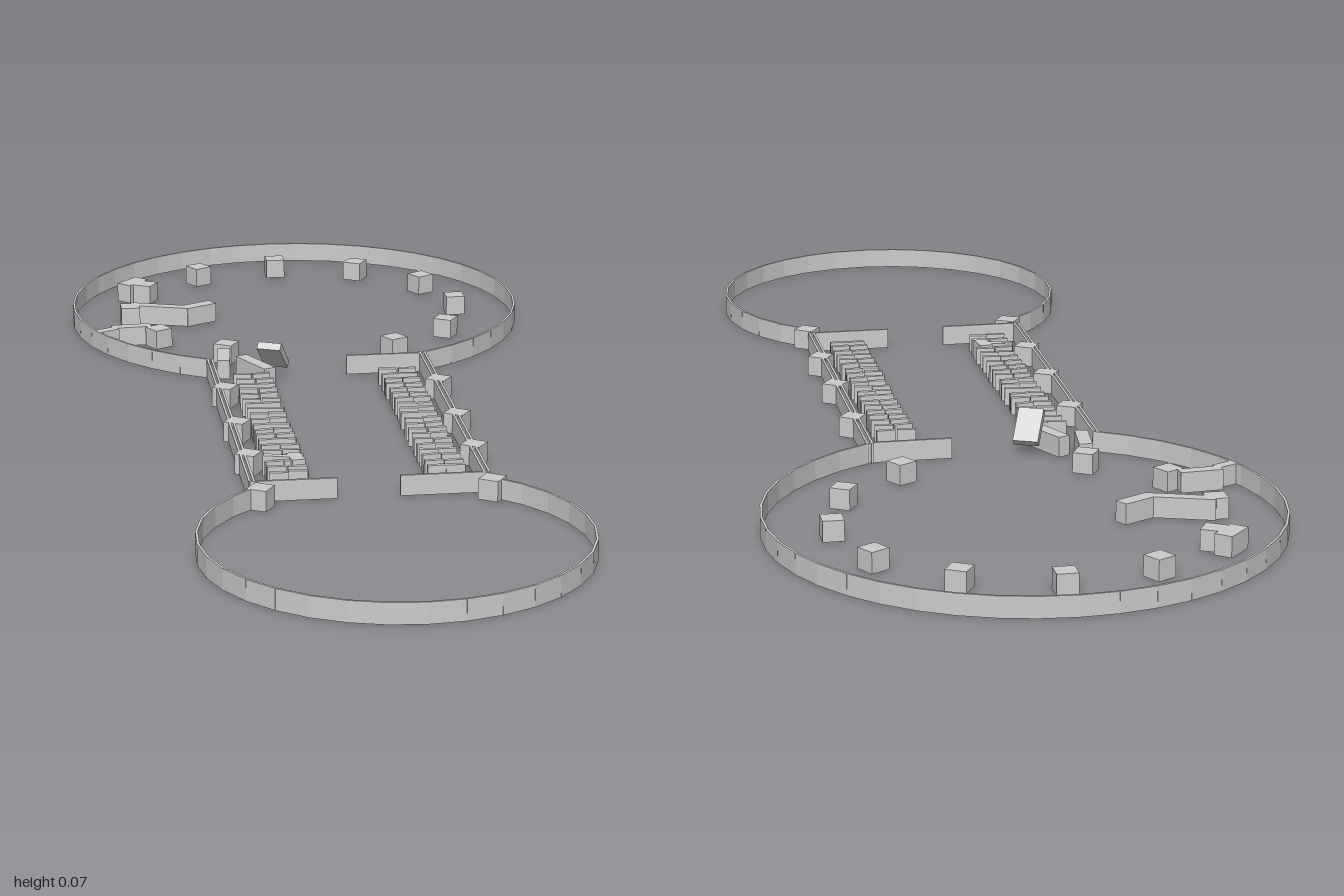
import * as THREE from 'three';

const H = 0.034; // common height of walls, pillars and planks
const mat = new THREE.MeshStandardMaterial({ color: 0xcccccc, flatShading: true });

// Seeded jitter in the range -1..1
function makeRandom(seed) {
  return () => {
    seed = (seed * 16807) % 2147483647;
    return (seed / 2147483647) * 2 - 1;
  };
}

function block(parent, name, w, h, d, x, y, z, ry = 0) {
  const mesh = new THREE.Mesh(new THREE.BoxGeometry(w, h, d), mat);
  mesh.name = name;
  mesh.position.set(x, y, z);
  mesh.rotation.y = ry;
  parent.add(mesh);
  return mesh;
}

// Upright panel standing on the floor between two plan points
function panel(parent, name, x1, z1, x2, z2, thick, h = H) {
  const dx = x2 - x1, dz = z2 - z1;
  return block(parent, name, Math.hypot(dx, dz), h, thick,
    (x1 + x2) / 2, h / 2, (z1 + z2) / 2, Math.atan2(-dz, dx));
}

function part(parent, name) {
  const g = new THREE.Group();
  g.name = name;
  parent.add(g);
  return g;
}

// Ring of flat panels, open towards dir (+1 = +z, -1 = -z)
function ringWall(parent, name, cz, r, dir, gap, n) {
  const g = part(parent, name);
  const point = i => {
    const a = gap + (i / n) * (Math.PI * 2 - 2 * gap);
    return [Math.sin(a) * r, cz + dir * Math.cos(a) * r];
  };
  for (let i = 0; i < n; i++) panel(g, 'ringPanel', ...point(i), ...point(i + 1), 0.004);
}

export function createModel() {
  const model = new THREE.Group();
  model.name = 'ruinPlan';

  // Round enclosures at both ends
  const bigZ = -0.595;
  ringWall(model, 'largeRingWall', bigZ, 0.404, 1, 0.485, 36);
  ringWall(model, 'smallRingWall', 0.695, 0.302, -1, 0.665, 26);

  // Corridor walls, in several lengths, with a thin outer skin
  const walls = part(model, 'corridorWalls');
  for (const [inner, outer] of [[-0.187, -0.194], [0.179, 0.187]]) {
    for (let i = 0; i < 10; i++) {
      const z = -0.24 + i * 0.067;
      panel(walls, 'corridorPanel', inner, z, inner, z + 0.067, 0.004);
      panel(walls, 'outerPanel', outer, z, outer, z + 0.067, 0.004);
    }
  }

  // Cross walls that narrow the corridor ends
  panel(walls, 'crossWall', 0.048, -0.232, 0.187, -0.232, 0.005);
  panel(walls, 'crossWall', 0.045, 0.43, 0.187, 0.43, 0.005);
  panel(walls, 'crossWall', -0.055, 0.43, -0.194, 0.43, 0.005);

  // Pillar circle, without the pillar in the entrance
  const pillars = part(model, 'pillars');
  for (let i = 1; i < 12; i++) {
    const a = (i * Math.PI) / 6;
    block(pillars, 'circlePillar', H, H, H,
      Math.sin(a) * 0.3 - 0.002, H / 2, bigZ + Math.cos(a) * 0.297, a);
  }

  // Pillars along the corridor
  for (const x of [-0.18, 0.187])
    for (const z of [-0.08, 0.115, 0.285, 0.46])
      block(pillars, 'corridorPillar', H, H, H, x, H / 2, z, x > 0 ? -0.6 : -0.55);

  // Two rows of uneven slats inside the corridor
  const rand = makeRandom(77);
  for (const [name, cx] of [['rightSlats', -0.125], ['leftSlats', 0.127]]) {
    const g = part(model, name);
    for (let i = 0; i < 20; i++) {
      const z = -0.155 + i * 0.028;
      for (const s of [-1, 1])
        block(g, 'slat', 0.031, 0.03, 0.008, cx + s * 0.0155 + rand() * 0.002, 0.015,
          z + rand() * 0.003, rand() * 0.2);
    }
  }

  // Loose upright slabs: x1, z1, x2, z2, thickness
  const rubble = part(model, 'looseSlabs');
  const slabs = [
    [-0.3, -0.608, -0.196, -0.573, 0.02],
    [-0.205, -0.573, -0.15, -0.603, 0.024],
    [-0.345, -0.462, -0.275, -0.467, 0.02],
    [-0.37, -0.438, -0.337, -0.455, 0.018],
    [-0.302, -0.742, -0.266, -0.782, 0.03],
    [-0.168, -0.228, -0.16, -0.302, 0.022],
    [-0.134, -0.256, -0.093, -0.172, 0.022],
    [-0.158, 0.3, -0.098, 0.318, 0.012],
    [-0.11, 0.295, -0.104, 0.333, 0.022],
  ];
  for (const s of slabs) panel(rubble, 'looseSlab', ...s);

  // Toppled slab leaning above the entrance
  const wide = new THREE.Vector3(0.91, 0, 0.41).normalize();
  const long = new THREE.Vector3(-0.29, 0.7, 0.643).normalize();
  const lean = block(rubble, 'leaningSlab', 0.042, 0.062, 0.014, -0.082, 0.043, -0.222);
  lean.quaternion.setFromRotationMatrix(
    new THREE.Matrix4().makeBasis(wide, long, wide.clone().cross(long)));

  return model;
}
